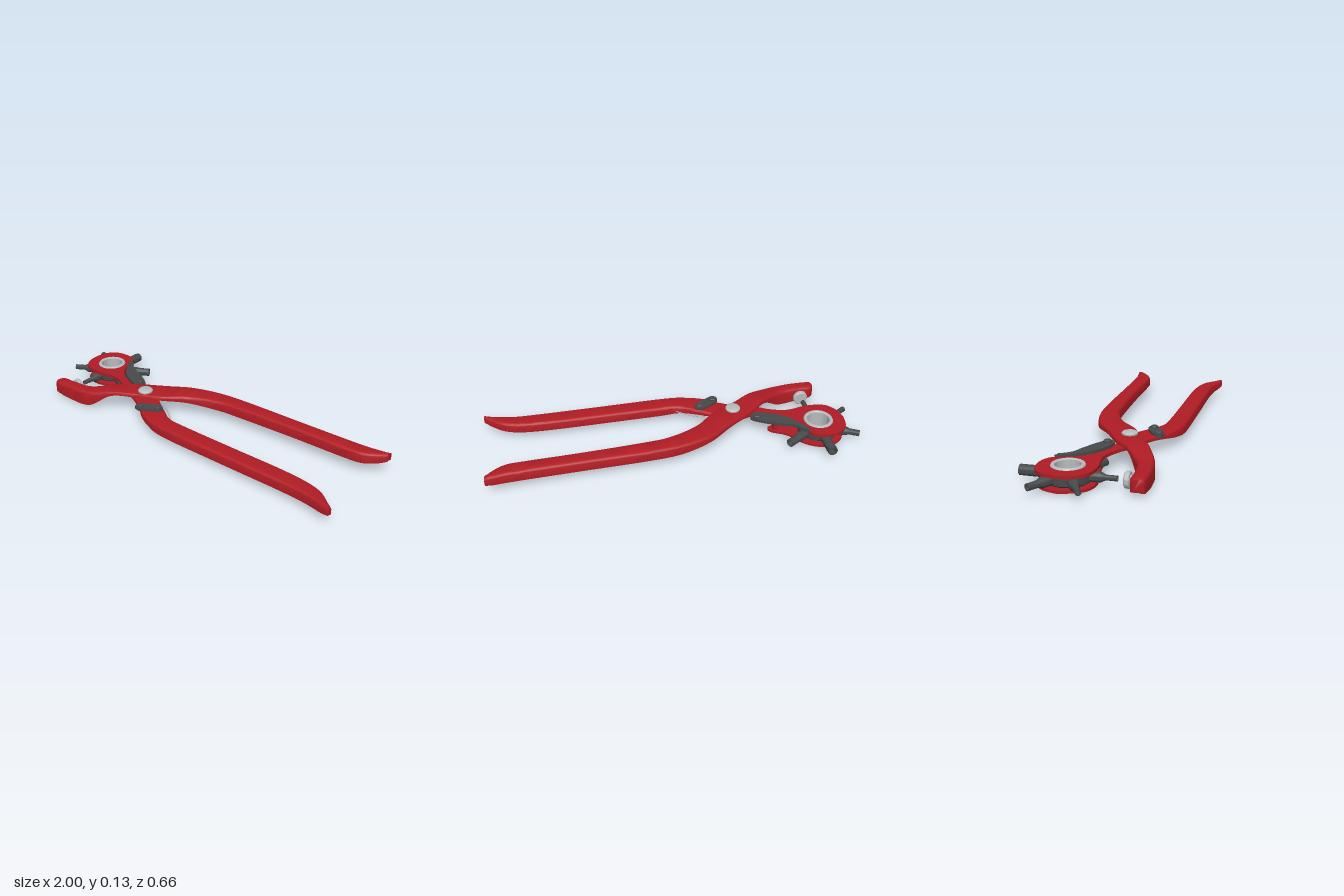
import * as THREE from 'three';
import { toCreasedNormals, mergeVertices } from 'three/addons/utils/BufferGeometryUtils.js';

const mat = (color) => new THREE.MeshStandardMaterial({ color, side: THREE.DoubleSide });
const V2 = (x, y) => new THREE.Vector2(x, y);
const V3 = (x, y, z) => new THREE.Vector3(x, y, z);

// Smoothly interpolated row of numbers at t (0..1) along a list of rows
function sampleRows(rows, t) {
  const f = t * (rows.length - 1), i = Math.min(Math.floor(f), rows.length - 2), u = f - i;
  const row = (k) => rows[Math.max(0, Math.min(rows.length - 1, k))];
  return rows[0].map((_, c) => {
    const a = row(i - 1)[c], b = row(i)[c], d = row(i + 1)[c], e = row(i + 2)[c];
    const m0 = (d - a) / 2, m1 = (e - b) / 2;
    return b + u * (m0 + u * (3 * (d - b) - 2 * m0 - m1 + u * (2 * (b - d) + m0 + m1)));
  });
}

// Pressed-steel channel, open below. Rows: back edge x, z, front edge x, z, top y, bottom y
function channel(rows, wall = 0.015) {
  const n = (rows.length - 1) * 8, pos = [], idx = [];
  let ring = 0;
  for (let i = 0; i <= n; i++) {
    const [bx, bz, fx, fz, top, bottom] = sampleRows(rows, i / n);
    const w = Math.hypot(fx - bx, fz - bz);
    const r = Math.min(0.02, w * 0.4, (top - bottom) * 0.5);
    const half = (inset, rad) => {
      const pts = [[inset, bottom]];
      const t = Math.max(top - inset, bottom + 0.001);
      const rr = Math.min(rad, t - bottom);
      for (let k = 0; k <= 4; k++) {
        const a = (k / 4) * Math.PI / 2;
        pts.push([inset + rr * (1 - Math.cos(a)), t - rr * (1 - Math.sin(a))]);
      }
      return pts;
    };
    const both = (h) => [...h, ...h.slice().reverse().map(([s, y]) => [w - s, y])];
    const th = Math.min(wall, w * 0.3);
    const loop = [...both(half(0, r)), ...both(half(th, r * 0.5)).reverse()];
    ring = loop.length;
    for (const [s, y] of loop) pos.push(bx + (fx - bx) * s / w, y, bz + (fz - bz) * s / w);
  }
  for (let i = 0; i < n; i++) for (let j = 0; j < ring; j++) {
    const a = i * ring + j, b = i * ring + (j + 1) % ring, c = b + ring, d = a + ring;
    idx.push(a, b, d, b, c, d);
  }
  // closed walls at both ends
  for (let j = 1; j < ring / 2 - 1; j++) {
    const e = n * ring;
    idx.push(0, j + 1, j, e, e + j, e + j + 1);
  }
  const g = new THREE.BufferGeometry();
  g.setAttribute('position', new THREE.Float32BufferAttribute(pos, 3));
  g.setIndex(idx);
  return toCreasedNormals(g, 0.7);
}

// Flat plate from a closed smooth outline in x, z, with an optional round hole
function plate(points, thick, hole) {
  const curve = new THREE.SplineCurve([...points, points[0]].map(([x, z]) => V2(x, z)));
  const shape = new THREE.Shape(curve.getPoints(90).slice(0, -1));
  if (hole) shape.holes.push(new THREE.Path().absarc(hole[0], hole[1], hole[2], 0, Math.PI * 2, true));
  const g = new THREE.ExtrudeGeometry(shape, { depth: thick, bevelEnabled: false, curveSegments: 40 });
  g.deleteAttribute('uv');
  g.deleteAttribute('normal');
  return toCreasedNormals(mergeVertices(g.rotateX(Math.PI / 2)), 0.6);
}

const lathe = (pts, seg = 36) =>
  toCreasedNormals(new THREE.LatheGeometry(pts.map(([r, y]) => V2(r, y)), seg), 0.6);

export function createModel() {
  const model = new THREE.Group();
  const red = mat(0xb01c24), dark = mat(0x47494b), steel = mat(0xb8bbbd);
  const add = (name, geo, m, x = 0, y = 0, z = 0, parent = model) => {
    const mesh = new THREE.Mesh(geo, m);
    mesh.name = name;
    mesh.position.set(x, y, z);
    parent.add(mesh);
    return mesh;
  };
  const WX = -0.8, WZ = -0.1, WY = 0.046; // punch wheel centre

  // Arm with the anvil jaw, crossing on top and running to the back handle
  add('anvilArm', channel([
    [-0.89, 0.22, -0.89, 0.262, 0.084, 0.025], [-0.865, 0.202, -0.87, 0.273, 0.088, 0.018],
    [-0.78, 0.2, -0.75, 0.273, 0.09, 0.008], [-0.67, 0.18, -0.62, 0.255, 0.092, 0.012],
    [-0.56, 0.11, -0.5, 0.2, 0.112, 0.088], [-0.45, 0.02, -0.38, 0.13, 0.112, 0.09],
    [-0.32, -0.06, -0.25, 0.065, 0.112, 0.089], [-0.18, -0.15, -0.13, -0.03, 0.112, 0.075],
    [-0.02, -0.195, 0.03, -0.095, 0.112, 0.058], [0.16, -0.21, 0.18, -0.112, 0.112, 0.055],
    [0.51, -0.215, 0.51, -0.125, 0.112, 0.055], [0.8, -0.22, 0.8, -0.13, 0.112, 0.055],
    [0.9, -0.226, 0.89, -0.138, 0.112, 0.057], [0.96, -0.235, 0.95, -0.17, 0.112, 0.062],
    [0.995, -0.24, 0.99, -0.205, 0.112, 0.07],
  ]), red);

  // Arm with the punch head, passing below and running to the front handle
  add('punchArm', channel([
    [-0.46, 0.03, -0.47, 0.1, 0.09, 0.068], [-0.34, 0.01, -0.4, 0.125, 0.09, 0.068],
    [-0.24, 0.075, -0.3, 0.18, 0.09, 0.066], [-0.17, 0.12, -0.24, 0.225, 0.09, 0.062],
    [-0.08, 0.17, -0.16, 0.26, 0.09, 0.05], [0.03, 0.18, -0.03, 0.283, 0.09, 0.04],
    [0.35, 0.183, 0.35, 0.285, 0.09, 0.038], [0.62, 0.185, 0.68, 0.285, 0.09, 0.038],
    [0.78, 0.195, 0.82, 0.29, 0.09, 0.038], [0.88, 0.22, 0.9, 0.305, 0.09, 0.042],
    [0.95, 0.27, 0.95, 0.32, 0.09, 0.048], [0.99, 0.308, 0.985, 0.326, 0.09, 0.055],
  ]), red);

  // Head plates above and below the wheel, joined by a post
  add('headPlate', plate([
    [-0.943, -0.11], [-0.925, -0.185], [-0.87, -0.232], [-0.78, -0.237], [-0.72, -0.2], [-0.69, -0.11],
    [-0.62, -0.03], [-0.53, 0.015], [-0.43, 0.03], [-0.4, 0.07], [-0.42, 0.115], [-0.48, 0.1],
    [-0.56, 0.05], [-0.66, 0.02], [-0.78, 0.035], [-0.88, 0.02], [-0.93, -0.04],
  ], 0.016, [WX, WZ, 0.07]), red, 0, 0.09);
  add('lowerPlate', plate([
    [-0.94, -0.1], [-0.915, -0.18], [-0.86, -0.225], [-0.78, -0.235], [-0.7, -0.19], [-0.63, -0.1],
    [-0.55, -0.05], [-0.545, -0.015], [-0.6, -0.005], [-0.7, 0.01], [-0.8, 0.035], [-0.89, 0.005],
  ], 0.013, [WX, WZ, 0.07]), red, 0, 0.017);
  add('spacerPost', new THREE.BoxGeometry(0.025, 0.07, 0.035), red, -0.577, 0.045, -0.032);

  // Revolving wheel with six hollow punches
  const wheel = new THREE.Group();
  wheel.name = 'punchWheel';
  wheel.position.set(WX, WY, WZ);
  model.add(wheel);
  add('wheelHub', lathe([[0.07, -0.027], [0.105, -0.027], [0.112, -0.02], [0.112, 0.02], [0.105, 0.027], [0.07, 0.027], [0.07, -0.027]], 12),
    dark, 0, 0, 0, wheel);
  [0.026, 0.022, 0.02, 0.013, 0.015, 0.017].forEach((r, i) => {
    const punch = add('punch' + (i + 1), lathe([
      [0.026, 0.09], [0.026, 0.15], [r, 0.175], [r, 0.23], [r * 0.75, 0.23], [r * 0.7, 0.14], [0, 0.14],
    ], 24), dark, 0, 0, 0, wheel);
    punch.rotation.set(-Math.PI / 2, 0, -i * Math.PI / 3, 'YXZ');
    punch.rotation.set(-Math.PI / 2, -i * Math.PI / 3, 0, 'YXZ');
  });

  // Hollow rivet holding the wheel
  add('wheelEyelet', lathe([
    [0.06, 0.004], [0.066, 0.001], [0.076, 0.003], [0.08, 0.008], [0.07, 0.012], [0.07, 0.085],
    [0.08, 0.09], [0.076, 0.096], [0.066, 0.097], [0.06, 0.092], [0.06, 0.004],
  ], 48), steel, WX, 0, WZ);

  // Anvil facing the active punch
  const anvil = add('anvil', lathe([
    [0, 0.04], [0.034, 0.04], [0.04, 0.035], [0.04, 0.018], [0.036, 0.014], [0.024, 0.014], [0.024, -0.02], [0, -0.02],
  ]), steel, WX, 0.046, 0.203);
  anvil.rotation.x = -Math.PI / 2;

  // Pivot rivet through both arms
  add('pivotRivet', lathe([
    [0, 0.063], [0.03, 0.063], [0.038, 0.067], [0.038, 0.071], [0.022, 0.071], [0.022, 0.111],
    [0.04, 0.111], [0.041, 0.119], [0.036, 0.125], [0.026, 0.128], [0, 0.128],
  ]), steel, -0.36, 0, 0.065);

  // Indexing pawl with its pin
  add('pawl', plate([
    [-0.72, -0.195], [-0.69, -0.175], [-0.65, -0.13], [-0.58, -0.1], [-0.49, -0.055], [-0.445, -0.02],
    [-0.45, 0.012], [-0.49, 0.02], [-0.56, -0.005], [-0.63, -0.05], [-0.68, -0.11], [-0.715, -0.165],
  ], 0.018, null), dark, 0, 0.1);
  const pin = (name, x, z) => add(name, lathe([[0, -0.02], [0.02, -0.02], [0.02, 0.008], [0.016, 0.012], [0, 0.012]], 24), dark, x, 0.1, z);
  pin('pawlPin', -0.475, -0.014);

  // Locking latch on the front handle
  add('latch', plate([
    [-0.305, 0.195], [-0.29, 0.167], [-0.21, 0.123], [-0.17, 0.128], [-0.165, 0.158], [-0.19, 0.178],
    [-0.265, 0.218], [-0.295, 0.216],
  ], 0.012, null), dark, 0, 0.102);
  pin('latchPivot', -0.19, 0.15);
  pin('latchStud', -0.275, 0.193);

  // Thin return spring between the handles
  const path = new THREE.CatmullRomCurve3([
    V3(-0.33, 0.078, 0.06), V3(-0.25, 0.075, 0.068), V3(-0.18, 0.068, 0.09), V3(-0.12, 0.062, 0.13), V3(-0.06, 0.06, 0.18),
  ]);
  add('returnSpring', new THREE.TubeGeometry(path, 24, 0.003, 6), steel);

  // Centre the whole tool and rest it on the ground
  const box = new THREE.Box3().setFromObject(model), c = box.getCenter(V3(0, 0, 0));
  for (const part of model.children) part.position.sub(V3(c.x, box.min.y, c.z));
  return model;
}
